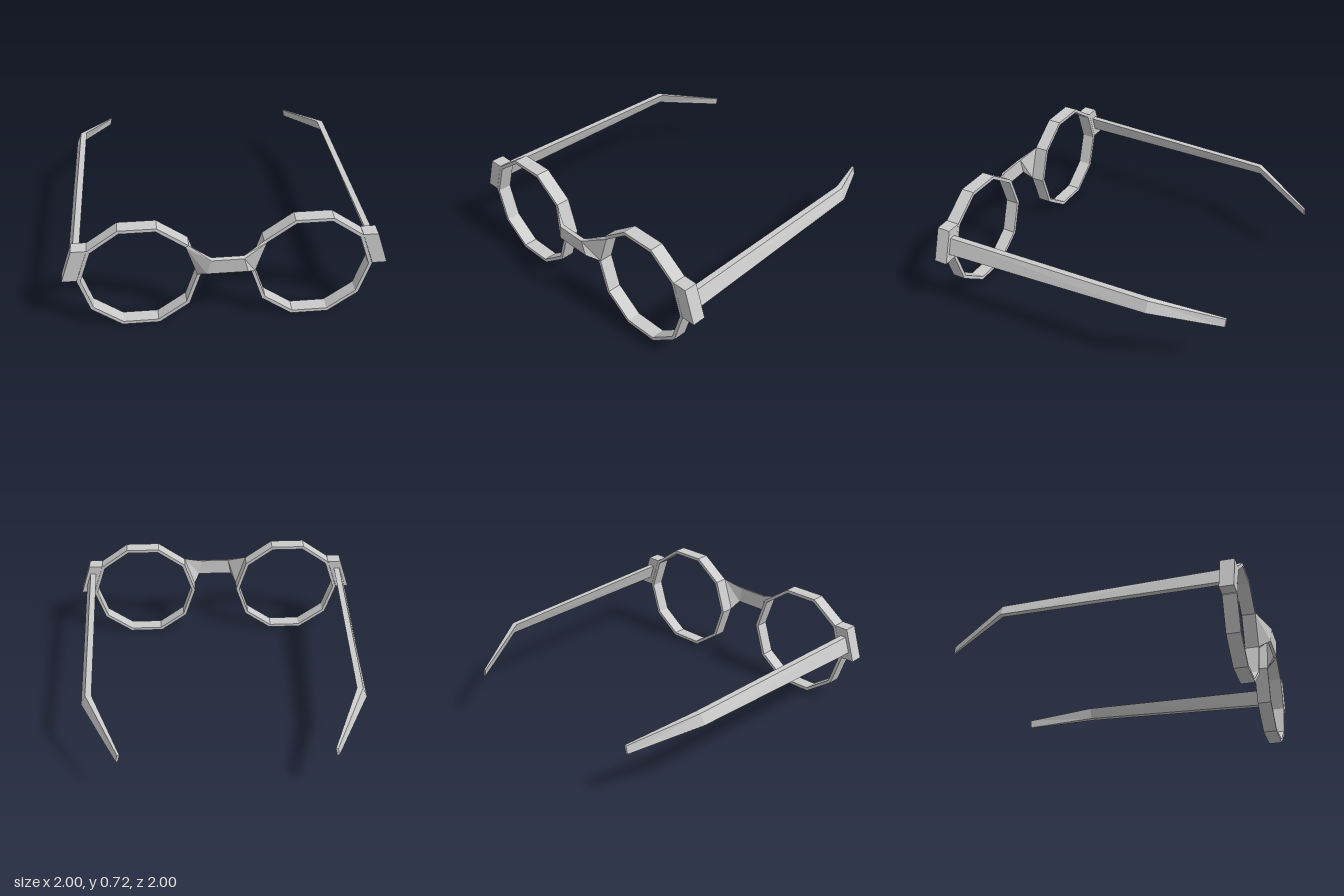
import * as THREE from 'three';

const material = new THREE.MeshStandardMaterial({ color: 0xcccccc, flatShading: true });

// Skin a row of four-cornered sections and cap both ends.
// Corners run counter-clockwise as seen looking back along the path; flip reverses the faces.
function loft(sections, flip = false) {
  const pos = [];
  const tri = (a, b, c) => pos.push(...a, ...(flip ? [...c, ...b] : [...b, ...c]));
  const quad = (a, b, c, d) => { tri(a, b, c); tri(a, c, d); };
  for (let i = 0; i < sections.length - 1; i++) {
    const s = sections[i], t = sections[i + 1];
    for (let k = 0; k < 4; k++) {
      const n = (k + 1) % 4;
      quad(s[k], s[n], t[n], t[k]);
    }
  }
  quad(...[...sections[0]].reverse());
  quad(...sections[sections.length - 1]);
  const geo = new THREE.BufferGeometry();
  geo.setAttribute('position', new THREE.Float32BufferAttribute(pos, 3));
  geo.computeVertexNormals();
  return geo;
}

function part(name, geo) {
  const mesh = new THREE.Mesh(geo, material);
  mesh.name = name;
  return mesh;
}

const CX = 0.532, CY = 0.36, R_OUT = 0.377, R_IN = 0.354, Z_BACK = 0.83, Z_FRONT = 0.92;

// Points of a regular decagon with a vertex on the x axis
function decagon(cx, r) {
  return Array.from({ length: 10 }, (_, i) => {
    const a = (i / 10) * Math.PI * 2;
    return new THREE.Vector2(cx + r * Math.cos(a), CY + r * Math.sin(a));
  });
}

function plate(shape) {
  const geo = new THREE.ExtrudeGeometry(shape, { depth: Z_FRONT - Z_BACK, bevelEnabled: false });
  return geo.translate(0, 0, Z_BACK);
}

export function createModel() {
  const model = new THREE.Group();
  model.name = 'glasses';

  for (const [side, s] of [['left', 1], ['right', -1]]) {
    // Ten-sided lens rim
    const rim = new THREE.Shape(decagon(s * CX, R_OUT));
    rim.holes.push(new THREE.Path(decagon(s * CX, R_IN)));
    model.add(part(side + 'Rim', plate(rim)));

    // Slanted end piece against the outer rim edge
    const end = [[1, 0.365], [0.93, 0.584], [0.837, 0.584], [0.909, 0.365]];
    model.add(part(side + 'EndPiece',
      plate(new THREE.Shape(end.map(([x, y]) => new THREE.Vector2(s * x, y))))));

    // Temple arm: z, top y, bottom y, then x of top inner, top outer, bottom outer, bottom inner
    const arm = [
      [0.83, 0.525, 0.42, 0.885, 0.925, 0.96, 0.92],
      [-0.58, 0.522, 0.45, 0.84, 0.88, 0.91, 0.87],
      [-1, 0.395, 0.343, 0.657, 0.672, 0.684, 0.669],
    ].map(([z, top, bot, a, b, c, d]) =>
      [[s * a, top, z], [s * b, top, z], [s * c, bot, z], [s * d, bot, z]]);
    model.add(part(side + 'Temple', loft(arm, s < 0)));
  }

  // Nose bridge: corners are front top, front bottom, back bottom, back top
  const root = (s) => [[s * 0.246, 0.569, 0.92], [s * 0.178, 0.36, 0.92],
    [s * 0.155, 0.36, 0.92], [s * 0.227, 0.582, 0.92]];
  const middle = (s) => [[s * 0.1, 0.518, 1], [s * 0.125, 0.415, 0.992],
    [s * 0.12, 0.415, 0.972], [s * 0.1, 0.525, 0.976]];
  model.add(part('bridge', loft([root(-1), middle(-1), middle(1), root(1)])));

  return model;
}
